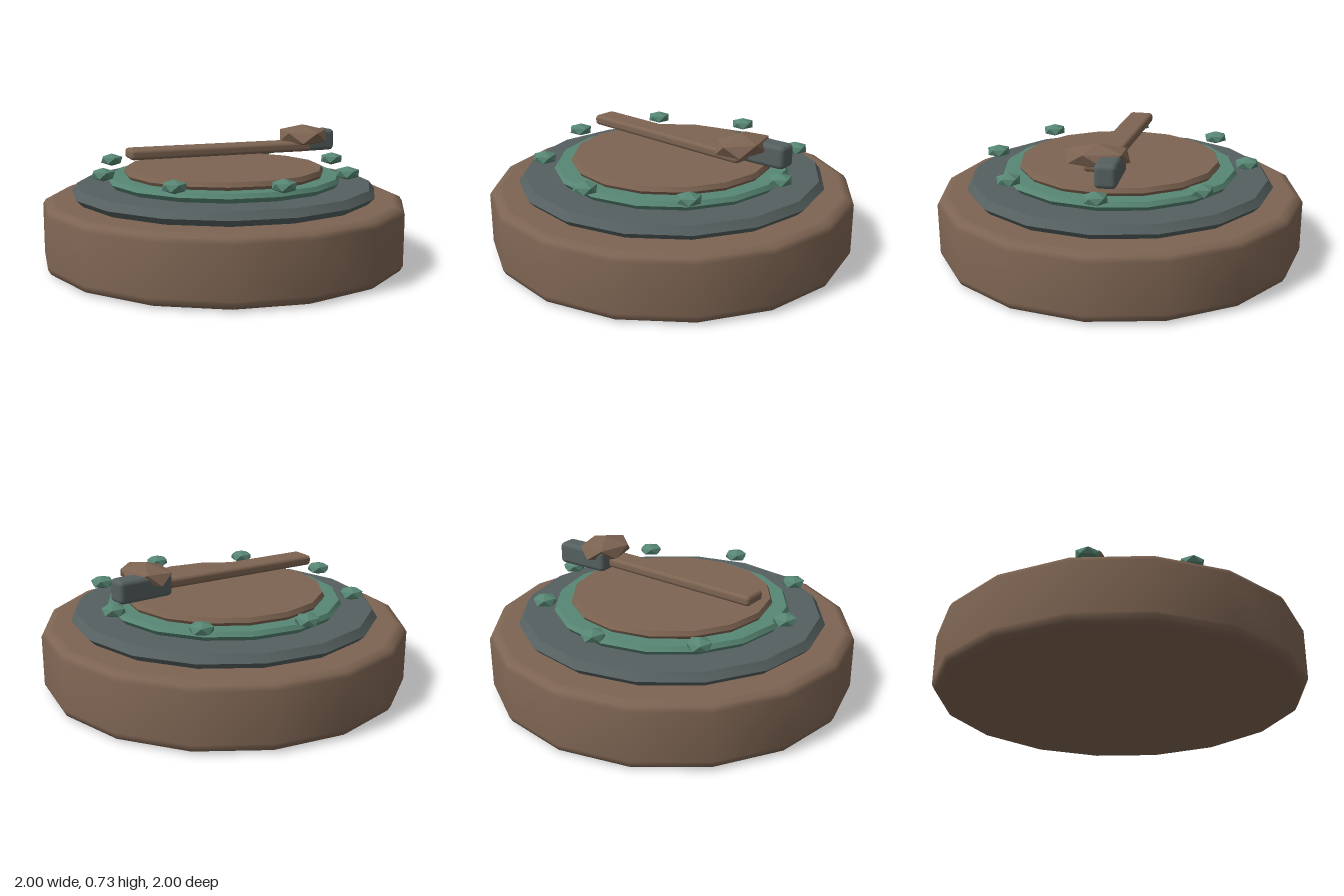
import * as THREE from 'three';
import { toCreasedNormals } from 'three/addons/utils/BufferGeometryUtils.js';
import { RoundedBoxGeometry } from 'three/addons/geometries/RoundedBoxGeometry.js';

const material = (name, color) => {
  const m = new THREE.MeshStandardMaterial({ color });
  m.name = name;
  return m;
};

export function createModel() {
  const brown = material('warm brown', 0x7d6452);
  const slate = material('slate grey', 0x566060);
  const green = material('patina green', 0x578674);
  const flat = (source) => {
    const m = source.clone();
    m.flatShading = true;
    m.name = source.name + ' faceted';
    return m;
  };
  const brownFlat = flat(brown), greenFlat = flat(green);

  const group = new THREE.Group();
  const add = (name, geometry, mat, x = 0, y = 0, z = 0) => {
    const mesh = new THREE.Mesh(geometry, mat);
    mesh.name = name;
    mesh.position.set(x, y, z);
    group.add(mesh);
    return mesh;
  };

  // Sixteen-sided turned parts, profile listed from bottom to top
  const turned = (profile, crease) => toCreasedNormals(
    new THREE.LatheGeometry(profile.map(([r, y]) => new THREE.Vector2(r, y)), 16), crease);

  // Ball with one vertex straight up, squashed to the given radii
  const facetedBall = (rx, ry, rz, spin = 0) => {
    const g = new THREE.IcosahedronGeometry(1, 0);
    g.rotateZ(Math.atan(2 / (1 + Math.sqrt(5))));
    g.rotateY(spin);
    g.scale(rx, ry, rz);
    return g;
  };

  // Thick base with softened edges
  add('base', turned([
    [0, 0.004], [0.94, 0.004], [0.95, 0.004], [0.985, 0.018], [1, 0.045], [1, 0.055],
    [1, 0.31], [1, 0.32], [0.985, 0.345], [0.95, 0.36], [0.94, 0.36], [0, 0.36],
  ], 0.75), brown);

  // Stacked rings and the centre disc
  add('outerRing', turned([
    [0, 0.355], [0.8, 0.355], [0.84, 0.395], [0.81, 0.435], [0, 0.435],
  ], 0.5), slate);
  add('innerRing', turned([
    [0, 0.43], [0.62, 0.43], [0.645, 0.46], [0.63, 0.483], [0, 0.483],
  ], 0.5), green);
  add('centreDisc', turned([
    [0, 0.48], [0.54, 0.48], [0.552, 0.5], [0.54, 0.524], [0, 0.524],
  ], 0.5), brown);

  // Ring of eight studs
  const studGeometry = facetedBall(0.069, 0.036, 0.069, Math.PI / 2);
  for (let i = 0; i < 8; i++) {
    const a = i * Math.PI / 4;
    add('stud', studGeometry, greenFlat, 0.693 * Math.cos(a), 0.523, 0.693 * Math.sin(a));
  }

  // Lever bar lying slightly askew above the disc
  const bar = add('leverBar', new RoundedBoxGeometry(1.05, 0.056, 0.138, 2, 0.02), brown, -0.02, 0.617, -0.003);
  bar.rotation.y = -0.07;

  // Metal end block and faceted knob
  add('endBlock', new RoundedBoxGeometry(0.31, 0.122, 0.112, 2, 0.025), slate, 0.553, 0.635, -0.049);
  const knob = add('knob', facetedBall(0.14, 0.063, 0.186, Math.PI / 2), brownFlat, 0.48, 0.673, 0.03);
  knob.rotation.z = 0.04;

  return group;
}
